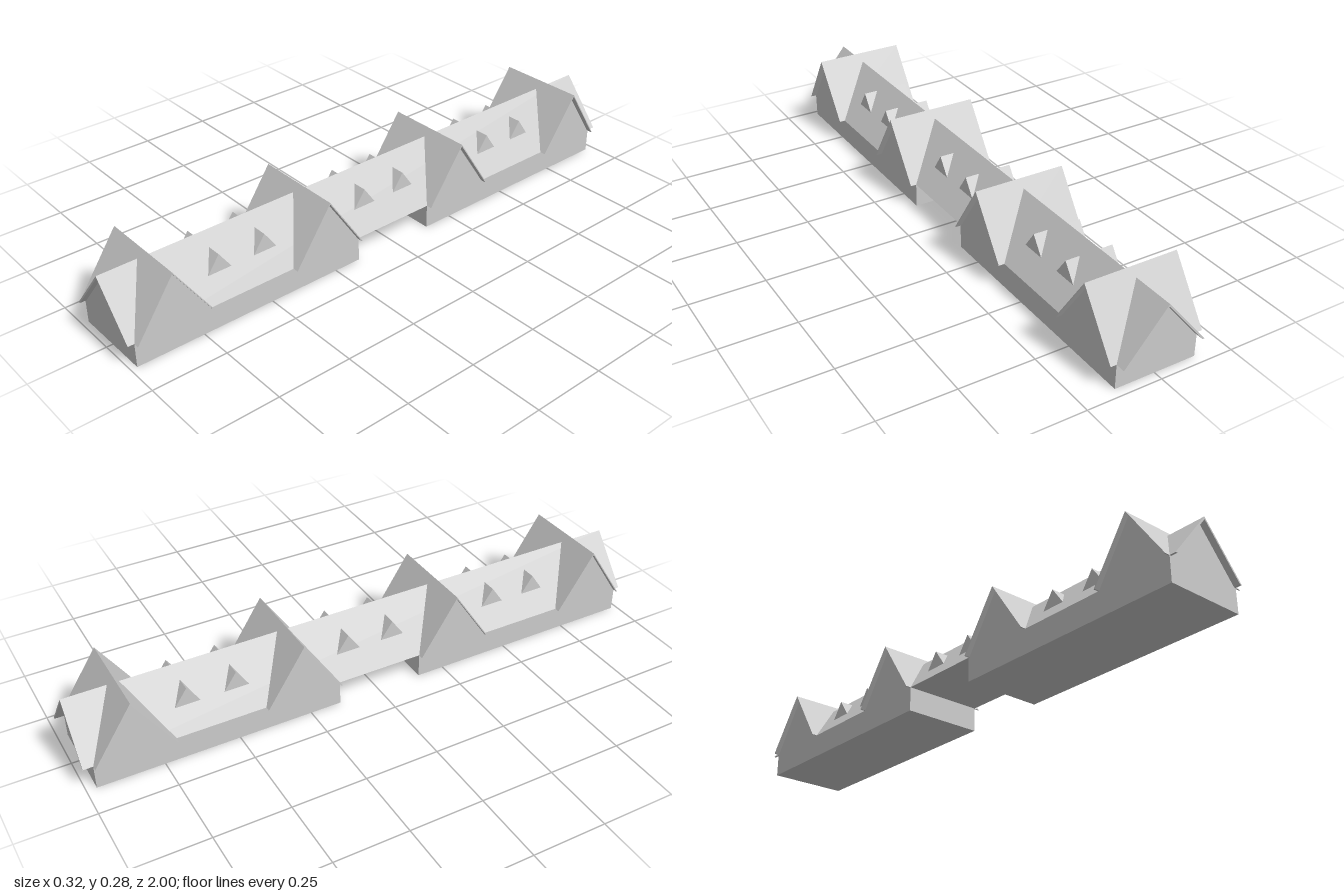
import * as THREE from 'three';

const material = new THREE.MeshStandardMaterial({ color: 0xcccccc, flatShading: true });
const EAVES = 0.083;      // height where walls meet roofs
const CENTER_X = -0.003;  // axis of the long hall

function addMesh(parent, name, geometry) {
  const mesh = new THREE.Mesh(geometry, material);
  mesh.name = name;
  parent.add(mesh);
  return mesh;
}

// Extrudes a 2D outline along z, from z0 to z1
function prism(points, z0, z1) {
  const shape = new THREE.Shape(points.map(([x, y]) => new THREE.Vector2(x, y)));
  return new THREE.ExtrudeGeometry(shape, { depth: z1 - z0, bevelEnabled: false }).translate(0, 0, z0);
}

// Solid triangle standing on the eaves line
const gable = (half, peak) => [[-half, EAVES], [half, EAVES], [0, peak]];

// Thin folded roof sheet: outer slopes and slightly smaller inner slopes
const chevron = (half, peak, t) => {
  const inner = half - t * half / (peak - EAVES);
  return [[-half, EAVES], [-inner, EAVES], [0, peak - t], [inner, EAVES], [half, EAVES], [0, peak]];
};

// Small pointed dormer: upright triangle whose ridge runs back into the roof
function dormerGeometry() {
  const a = [0.083, 0.15, 0.042], b = [0.083, 0.15, -0.042];
  const top = [0.083, 0.21, 0], back = [0.033, 0.21, 0];
  const faces = [a, b, top, a, top, back, b, back, top, a, back, b];
  const geometry = new THREE.BufferGeometry();
  geometry.setAttribute('position', new THREE.Float32BufferAttribute(faces.flat(), 3));
  geometry.computeVertexNormals();
  return geometry;
}

export function createModel() {
  const group = new THREE.Group();
  group.name = 'longHall';

  // Two wall blocks with an open passage between them
  for (const [name, z0, z1] of [['frontWalls', 0.155, 0.979], ['backWalls', -0.968, -0.144]]) {
    const walls = addMesh(group, name, new THREE.BoxGeometry(0.278, EAVES, z1 - z0));
    walls.position.set(CENTER_X, EAVES / 2, (z0 + z1) / 2);
  }

  // Attic closes the end gables and bridges the passage
  addMesh(group, 'attic', prism(gable(0.132, 0.241), -0.968, 0.979)).position.x = CENTER_X;

  // Long main roof overhanging both ends
  addMesh(group, 'mainRoof', prism(chevron(0.139, 0.25, 0.009), -1, 1)).position.x = CENTER_X;

  // Four cross gables, each with its own overhanging roof
  for (const z of [0.848, 0.286, -0.275, -0.837]) {
    const cross = new THREE.Group();
    cross.name = 'crossGable';
    cross.position.z = z;
    group.add(cross);

    const wall = prism(gable(0.129, 0.273), -0.139, 0.139).rotateY(Math.PI / 2);
    addMesh(cross, 'crossGableWall', wall).position.x = CENTER_X;

    // The ridge sits a touch to one side of the eaves
    const roof = prism(chevron(0.131, 0.278, 0.006), -0.158, 0.158).rotateY(Math.PI / 2);
    const p = roof.attributes.position;
    for (let i = 0; i < p.count; i++) {
      p.setX(i, p.getX(i) - 0.002 + 0.003 * (p.getY(i) - EAVES) / 0.195);
    }
    addMesh(cross, 'crossGableRoof', roof);
  }

  // Pairs of dormers on both slopes between the cross gables
  const dormer = dormerGeometry();
  for (const z of [0.646, 0.48, 0.082, -0.082, -0.477, -0.641]) {
    for (const turn of [0, Math.PI]) {
      const mesh = addMesh(group, turn ? 'rightDormer' : 'leftDormer', dormer);
      mesh.position.set(CENTER_X, 0, z);
      mesh.rotation.y = turn;
    }
  }

  return group;
}
